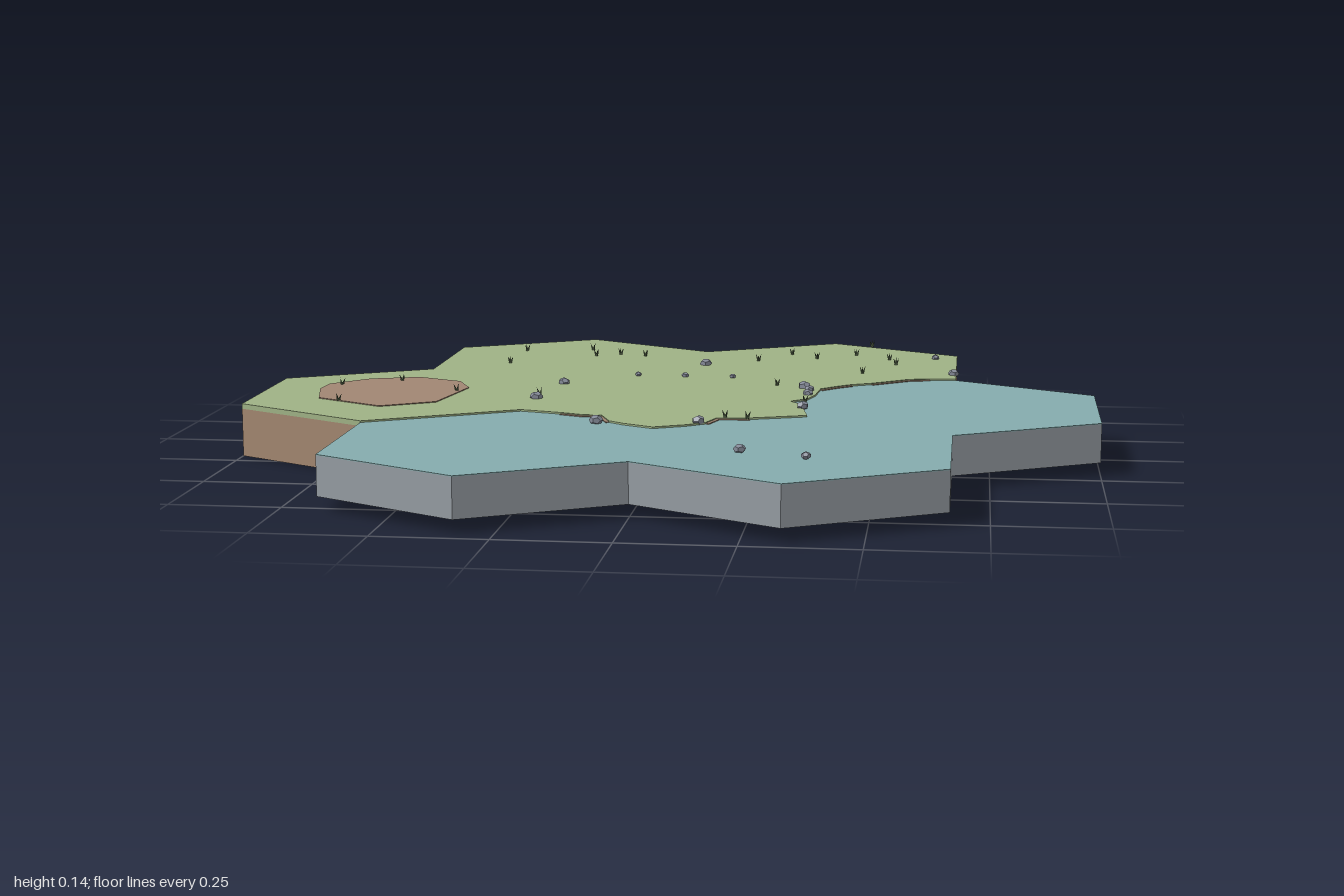
import * as THREE from 'three';
import { mergeGeometries } from 'three/addons/utils/BufferGeometryUtils.js';

const mat = (name, color) => Object.assign(new THREE.MeshStandardMaterial({ color }), { name });

// Hexagon lattice: columns are a half hexagon wide, rows a half side high
const lattice = list => list.map(([i, j]) => [i / 3, j * 0.19245]);

// Flat slab from an (x, z) outline between two heights
function slab(name, outline, y0, y1, material) {
  const shape = new THREE.Shape(outline.map(([x, z]) => new THREE.Vector2(x, -z)));
  const geo = new THREE.ExtrudeGeometry(shape, { depth: y1 - y0, bevelEnabled: false });
  geo.rotateX(-Math.PI / 2).translate(0, y0, 0);
  const mesh = new THREE.Mesh(geo, material);
  mesh.name = name;
  return mesh;
}

export function createModel() {
  const group = new THREE.Group();
  const grass = mat('grass', 0x9fb285);
  const water = mat('water', 0x85acae);
  const earth = mat('earth', 0xa2866f);
  const stone = mat('waterBed', 0x959ca2);
  const dirt = mat('dirt', 0xa18673);
  const rock = mat('rock', 0x858a98);
  const plant = mat('plant', 0x57684a);

  const landBack = lattice([[-1, 1], [-2, 2], [-3, 1], [-3, -1], [-2, -2], [-2, -4],
    [-1, -5], [0, -4], [1, -5], [2, -4], [2, -2]]);
  const straightShore = lattice([[1, -1], [1, 1], [0, 2]]);
  const waterFront = lattice([[2, -2], [3, -1], [3, 1], [2, 2], [2, 4], [1, 5], [0, 4],
    [-1, 5], [-2, 4], [-2, 2], [-1, 1]]);

  // Wavy shore, from the right corner round to the left one
  const shore = [[0.6, -0.375], [0.55, -0.362], [0.51, -0.33], [0.46, -0.29], [0.41, -0.262],
    [0.375, -0.23], [0.34, -0.19], [0.333, -0.1], [0.318, -0.04], [0.28, 0], [0.31, 0.04],
    [0.318, 0.1], [0.333, 0.19], [0.27, 0.215], [0.2, 0.242], [0.13, 0.248], [0.112, 0.31],
    [0.07, 0.345], [0, 0.382], [-0.07, 0.345], [-0.108, 0.315], [-0.135, 0.245],
    [-0.18, 0.242], [-0.23, 0.222]];

  // Blocks and their surfaces
  group.add(
    slab('landBlock', [...landBack, ...straightShore], 0, 0.113, earth),
    slab('waterBlock', [...waterFront, ...straightShore.slice().reverse()], 0.03, 0.119, stone),
    slab('grassTop', [...landBack, ...shore], 0.113, 0.125, grass),
    slab('waterSurface', [...waterFront, ...shore.slice().reverse()], 0.119, 0.121, water));

  // Bare ground in the left tile
  const patch = [[-0.67, -0.24], [-0.555, -0.187], [-0.515, -0.096], [-0.535, 0.027],
    [-0.55, 0.118], [-0.67, 0.193], [-0.84, 0.096], [-0.872, -0.037], [-0.867, -0.11], [-0.786, -0.2]];
  group.add(slab('dirtPatch', patch, 0.1245, 0.127, dirt));

  // Thin dirt fringes where the shore is bitten away
  for (const [from, to, dx, dz] of [[0, 3, 0.003, 0.009], [4, 6, 0.005, 0.007],
    [14, 16, 0.007, 0.007], [20, 23, -0.006, 0.008]]) {
    const edge = shore.slice(from, to + 1);
    const outer = edge.map(([x, z]) => [x + dx, z + dz]).reverse();
    group.add(slab('shoreFringe', [...edge, ...outer], 0.1195, 0.123, dirt));
  }

  // Pebbles: x, z, radius
  const pebbles = [[0.02, -0.54, 15], [0.61, -0.71, 10], [0.66, -0.445, 13], [-0.295, -0.195, 14],
    [-0.325, 0.03, 15], [0.3, -0.2, 16], [0.315, -0.16, 11], [0.315, -0.1, 12], [0.315, 0.085, 14],
    [-0.135, 0.33, 15], [0.095, 0.31, 15], [0.22, 0.64, 13], [0.365, 0.7, 11], [0.11, -0.335, 8],
    [-0.13, -0.34, 8], [-0.01, -0.335, 9]];
  const pebbleGeos = pebbles.map(([x, z, r], i) => new THREE.DodecahedronGeometry(r / 1000)
    .scale(1.1, 0.8, 1).rotateY(i * 1.7).translate(x, 0.129, z));
  const pebbleMesh = new THREE.Mesh(mergeGeometries(pebbleGeos), rock);
  pebbleMesh.name = 'pebbles';

  // Small tufts: three leaning blades each
  const tufts = [[-0.31, -0.765], [-0.485, -0.73], [-0.285, -0.66], [-0.225, -0.69], [-0.155, -0.67],
    [-0.49, -0.51], [0.23, -0.745], [0.4, -0.75], [0.3, -0.68], [0.49, -0.68], [0.15, -0.62],
    [0.51, -0.6], [0.43, -0.445], [0.435, -0.92], [0.23, -0.23], [-0.7, -0.18], [-0.835, -0.105],
    [-0.535, -0.05], [-0.785, 0.125], [-0.325, -0.02], [0.2, 0.245], [0.15, 0.24], [0.315, 0.01]];
  const blades = [];
  tufts.forEach(([x, z], i) => {
    for (let k = 0; k < 3; k++) {
      blades.push(new THREE.ConeGeometry(0.004, 0.022, 4).translate(0, 0.01, 0)
        .rotateZ(0.4).rotateY(i + k * 2.1).translate(x, 0.123, z));
    }
  });
  const tuftMesh = new THREE.Mesh(mergeGeometries(blades), plant);
  tuftMesh.name = 'grassTufts';
  group.add(pebbleMesh, tuftMesh);
  return group;
}
